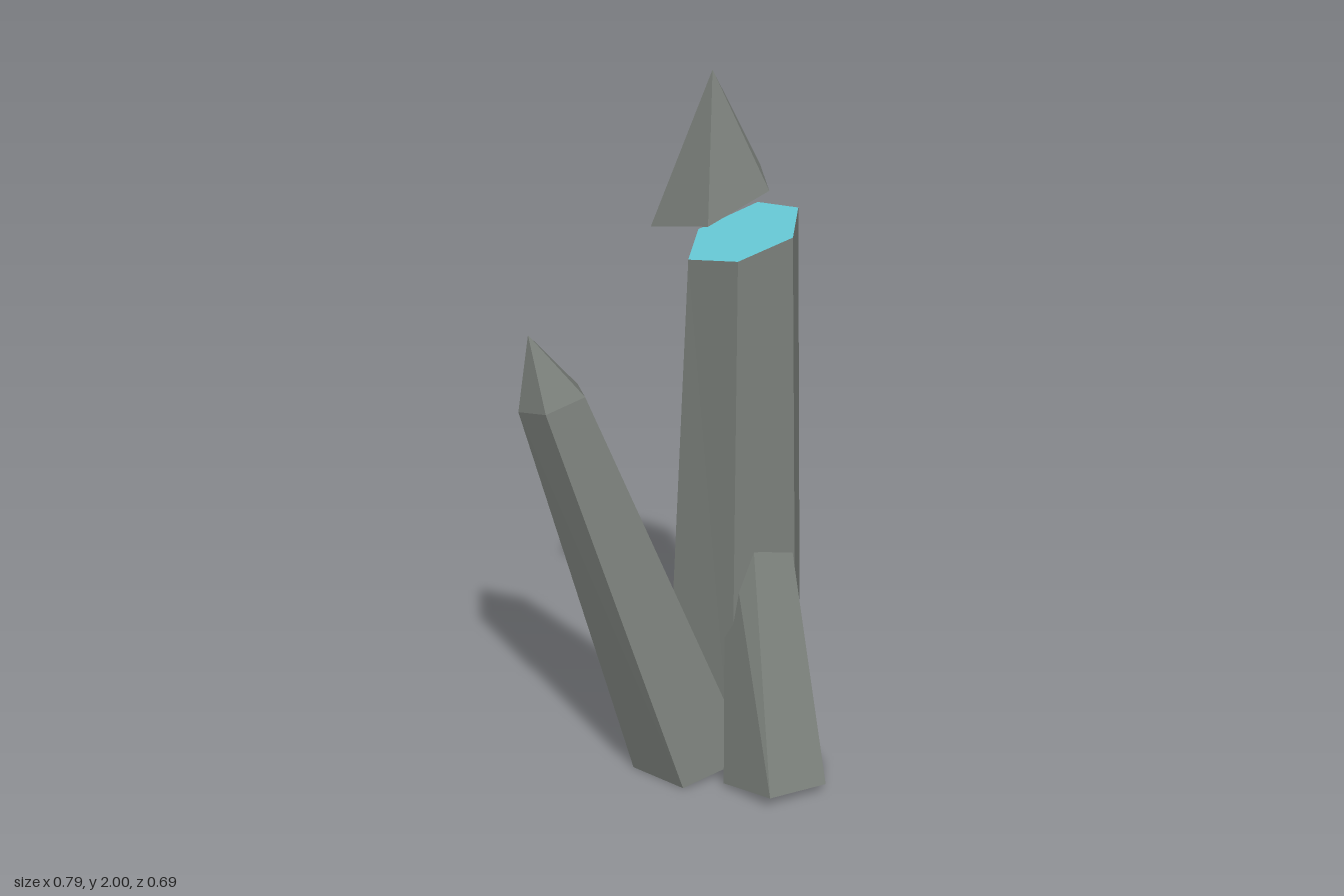
import * as THREE from 'three';

const stone = new THREE.MeshStandardMaterial({ color: 0x7a7f7a, flatShading: true });
stone.name = 'grey stone';
const core = new THREE.MeshStandardMaterial({ color: 0x66c9d6, flatShading: true });
core.name = 'cyan core';

// Flat-faced mesh from a list of triangles
function facets(name, triangles, material) {
  const geometry = new THREE.BufferGeometry();
  geometry.setAttribute('position', new THREE.Float32BufferAttribute(triangles.flat(2), 3));
  geometry.computeVertexNormals();
  const mesh = new THREE.Mesh(geometry, material);
  mesh.name = name;
  return mesh;
}

// Rings run clockwise as seen from above
function walls(lower, upper) {
  return lower.flatMap((a, i) => {
    const j = (i + 1) % lower.length;
    return [[a, upper[i], upper[j]], [a, upper[j], lower[j]]];
  });
}

function cone(ring, apex) {
  return ring.map((a, i) => [a, apex, ring[(i + 1) % ring.length]]);
}

function cap(ring, up) {
  const fan = [];
  for (let i = 1; i < ring.length - 1; i++) {
    fan.push(up ? [ring[0], ring[i + 1], ring[i]] : [ring[0], ring[i], ring[i + 1]]);
  }
  return fan;
}

function part(name, ...meshes) {
  const group = new THREE.Group();
  group.name = name;
  group.add(...meshes);
  return group;
}

export function createModel() {
  // Tall six-sided column with a slanted broken top
  const columnBase = [[0.115, 0, -0.255], [0.355, 0, -0.2], [0.395, 0, -0.02],
    [0.235, 0, 0.138], [0.035, 0, 0.083], [-0.055, 0, -0.11]];
  const columnTop = [[0.142, 1.54, -0.198], [0.32, 1.592, -0.16], [0.35, 1.6, -0.028],
    [0.232, 1.565, 0.083], [0.078, 1.52, 0.043], [0.02, 1.505, -0.09]];
  const column = part('mainColumn',
    facets('columnSides', [...walls(columnBase, columnTop), ...cap(columnBase, false)], stone),
    facets('columnBreak', cap(columnTop, true), core));

  // Floating five-sided tip with a glowing underside
  const tipBase = [[0.113, 1.655, -0.21], [0.273, 1.717, -0.098], [0.179, 1.692, 0.047],
    [-0.01, 1.627, 0.028], [-0.064, 1.6, -0.14]];
  const tip = part('floatingTip',
    facets('tipSides', cone(tipBase, [0.08, 2, -0.064]), stone),
    facets('tipBreak', cap(tipBase, false), core));

  // Leaning pointed crystal behind on the right
  const leanBase = [[-0.025, 0, -0.195], [0.15, 0.05, -0.06], [0.068, 0.055, 0.127],
    [-0.13, 0, 0.064], [-0.175, 0, -0.11]];
  const leanTop = [[-0.317, 1.125, -0.345], [-0.221, 1.16, -0.268], [-0.268, 1.165, -0.168],
    [-0.372, 1.13, -0.202], [-0.396, 1.115, -0.296]];
  const leaning = facets('leaningCrystal', [...walls(leanBase, leanTop),
    ...cone(leanTop, [-0.358, 1.325, -0.292]), ...cap(leanBase, false)], stone);

  // Short crystal running into the front of the column
  const shortBase = [[-0.01, 0.04, 0.303], [-0.034, 0.01, 0.13], [0.13, 0, 0.04],
    [0.27, 0, 0.215], [0.163, 0.035, 0.344]];
  const shortTop = [[0.135, 0.8, 0.04], [0.1, 0.8, -0.03], [0.2, 0.8, -0.1],
    [0.298, 0.8, -0.02], [0.243, 0.8, 0.06]];
  const short = facets('shortCrystal', [...walls(shortBase, shortTop),
    ...cap(shortTop, true), ...cap(shortBase, false)], stone);

  return part('brokenCrystalCluster', column, tip, leaning, short);
}
